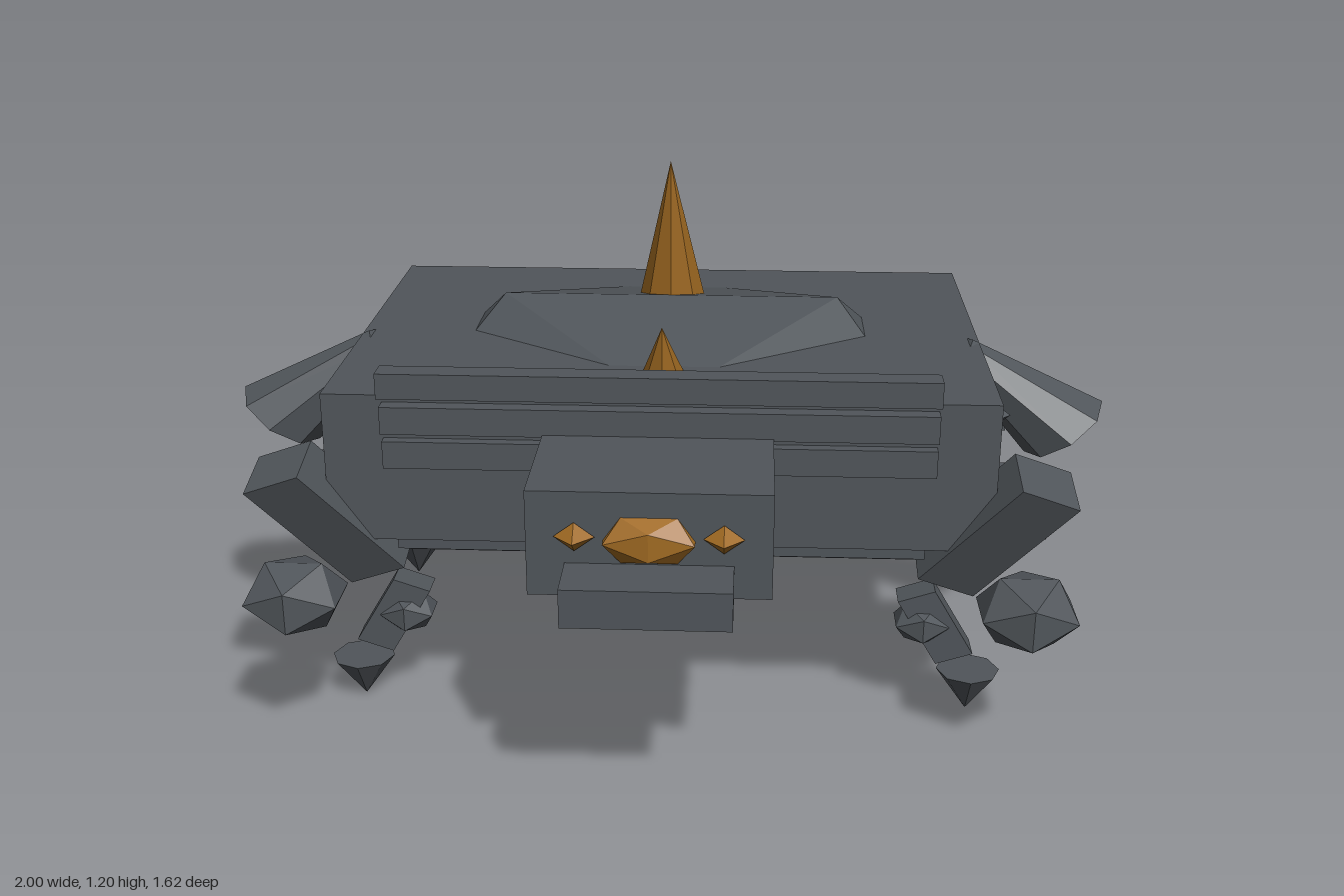
import * as THREE from 'three';

const steel = new THREE.MeshStandardMaterial({ color: 0x50555a, flatShading: true });
const amber = new THREE.MeshStandardMaterial({ color: 0xa06a22, flatShading: true });
const SQUASH = 0.75; // tilted and faceted parts are flattened vertically after rotation

export function createModel() {
  const root = new THREE.Group();

  // Straight box given by its extents
  function box(name, [x0, x1], [y0, y1], [z0, z1]) {
    const mesh = new THREE.Mesh(new THREE.BoxGeometry(x1 - x0, y1 - y0, z1 - z0), steel);
    mesh.position.set((x0 + x1) / 2, (y0 + y1) / 2, (z0 + z1) / 2);
    mesh.name = name;
    root.add(mesh);
  }

  // Part rotated first, then flattened by a parent group
  function part(name, geometry, [x, y, z], rotation = [0, 0, 0], material = steel, scale = [1, 1, 1]) {
    const group = new THREE.Group();
    group.name = name;
    group.position.set(x, y, z);
    group.scale.set(1, SQUASH, 1);
    const mesh = new THREE.Mesh(geometry, material);
    mesh.name = name + 'Mesh';
    mesh.rotation.set(...rotation);
    mesh.scale.set(...scale);
    group.add(mesh);
    root.add(group);
  }

  // Hull, underside plates and tail block
  box('hull', [-0.71, 0.71], [0.48, 0.81], [-0.65, 0.36]);
  box('undersidePlate', [-0.57, 0.57], [0.445, 0.48], [-0.62, 0.33]);
  box('undersideLip', [-0.55, 0.55], [0.43, 0.445], [-0.58, 0.3]);
  box('tailBlock', [-0.185, 0.185], [0.615, 0.745], [-0.815, -0.65]);

  // Faceted core showing through the top and the bottom
  const core = new THREE.Mesh(new THREE.IcosahedronGeometry(1, 0), steel);
  core.name = 'core';
  core.scale.set(0.74, 0.316, 0.535);
  core.position.set(0, 0.612, -0.17);
  root.add(core);

  // Three rails across the front
  box('topRail', [-0.58, 0.58], [0.82, 0.875], [0.36, 0.415]);
  box('middleRail', [-0.58, 0.58], [0.735, 0.795], [0.36, 0.395]);
  box('lowerRail', [-0.58, 0.58], [0.655, 0.715], [0.36, 0.385]);

  // Head with jaw and eyes
  box('head', [-0.24, 0.24], [0.52, 0.74], [0.35, 0.69]);
  box('jaw', [-0.165, 0.165], [0.51, 0.59], [0.6, 0.81]);
  part('centreEye', new THREE.IcosahedronGeometry(1, 0), [0, 0.64, 0.69], [0, 0, 0], amber, [0.105, 0.075, 0.045]);

  // Horns leaning forward
  part('mainHorn', new THREE.ConeGeometry(0.09, 0.54, 8), [0, 1.0, -0.212], [0.18, 0, 0], amber);
  part('frontHorn', new THREE.ConeGeometry(0.055, 0.2, 7), [0, 0.852, 0.195], [0.3, 0, 0], amber);

  for (const s of [1, -1]) {
    const side = s > 0 ? 'left' : 'right';

    part(side + 'Eye', new THREE.OctahedronGeometry(0.04), [s * 0.145, 0.648, 0.695], [0, 0, 0], amber);

    // Flared shoulder barrel
    part(side + 'Barrel', new THREE.CylinderGeometry(0.04, 0.12, 0.35, 8),
      [s * 0.791, 0.703, -0.06], [0, 0, s * Math.PI / 4]);

    // Arm and fist
    part(side + 'Arm', new THREE.BoxGeometry(0.14, 0.4, 0.14), [s * 0.715, 0.52, 0.315], [0.3, 0, -s * 0.5]);
    part(side + 'Fist', new THREE.IcosahedronGeometry(0.118, 0), [s * 0.785, 0.362, 0.4]);

    // Studs on the flank
    for (const z of [0.07, -0.158, -0.365])
      part(side + 'Stud', new THREE.OctahedronGeometry(0.047), [s * 0.725, 0.683, z]);

    // Side blocks
    for (const z of [0.18, -0.475]) {
      const xs = s > 0 ? [0.68, 0.83] : [-0.83, -0.68];
      box(side + 'SideBlock', xs, [0.485, 0.565], [z - 0.12, z + 0.12]);

      // Leg: hip stub, shin, knee and pointed foot
      part(side + 'Hip', new THREE.BoxGeometry(0.09, 0.24, 0.07), [s * 0.48, 0.507, z], [0, 0, s * 0.42]);
      part(side + 'Shin', new THREE.BoxGeometry(0.09, 0.225, 0.07), [s * 0.617, 0.221, z], [0, 0, s * 0.42]);
      part(side + 'Knee', new THREE.IcosahedronGeometry(0.07, 0), [s * 0.588, 0.222, z]);
      part(side + 'Foot', new THREE.ConeGeometry(0.072, 0.135, 8), [s * 0.7, 0.0506, z], [Math.PI, 0, 0]);
    }
  }

  return root;
}
